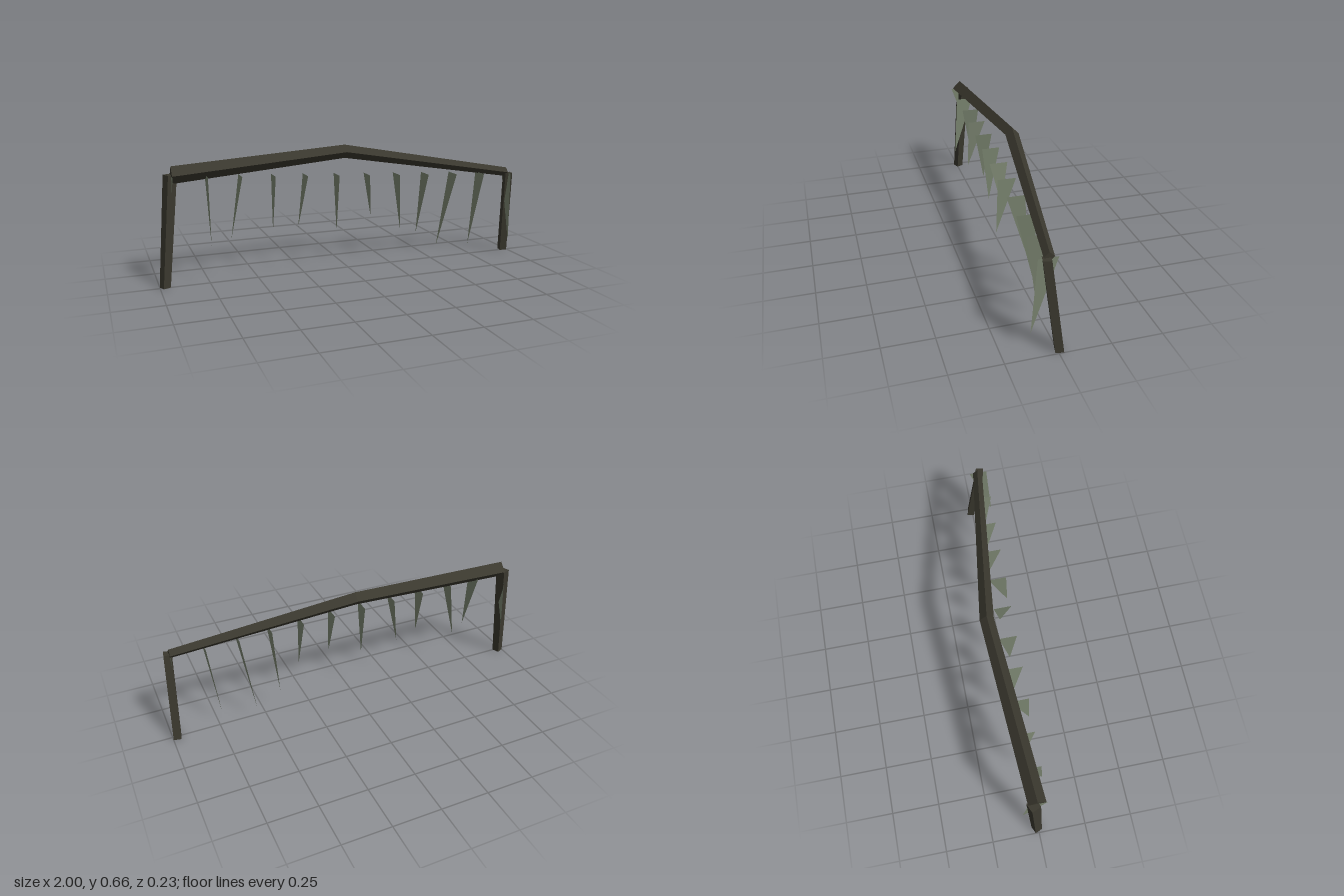
import * as THREE from 'three';

const wood = new THREE.MeshStandardMaterial({ color: 0x3a382e });
wood.name = 'dark weathered wood';
const cloth = new THREE.MeshStandardMaterial({ color: 0x7a8470, side: THREE.DoubleSide });
cloth.name = 'grey green rag';

const X = new THREE.Vector3(1, 0, 0);
const Y = new THREE.Vector3(0, 1, 0);
const Z = new THREE.Vector3(0, 0, 1);

function flatMesh(name, points, material) {
  const geo = new THREE.BufferGeometry().setFromPoints(points);
  geo.computeVertexNormals();
  const mesh = new THREE.Mesh(geo, material);
  mesh.name = name;
  return mesh;
}

// Four-sided timber through square rings [x, y, z, radius]; u and v span the ring plane
function timber(name, rings, u, v, turn) {
  const loops = rings.map(([x, y, z, r]) =>
    [0, 1, 2, 3].map((i) => {
      const a = turn + (i * Math.PI) / 2;
      return new THREE.Vector3(x, y, z)
        .addScaledVector(u, r * Math.cos(a))
        .addScaledVector(v, r * Math.sin(a));
    }));
  const tris = [];
  for (let k = 0; k < loops.length - 1; k++) {
    const a = loops[k], b = loops[k + 1];
    for (let i = 0; i < 4; i++) {
      const j = (i + 1) % 4;
      tris.push(a[i], a[j], b[j], a[i], b[j], b[i]);
    }
  }
  const s = loops[0], e = loops[loops.length - 1];
  tris.push(s[0], s[2], s[1], s[0], s[3], s[2], e[0], e[1], e[2], e[0], e[2], e[3]);
  return flatMesh(name, tris, wood);
}

export function createModel() {
  const group = new THREE.Group();
  group.name = 'raggedArch';

  // Bent crossbeam, tapering toward the left end, with an edge facing up
  group.add(timber('crossbeam', [
    [-0.915, 0.565, -0.018, 0.044],
    [0.01, 0.625, -0.079, 0.036],
    [0.945, 0.475, 0.043, 0.025],
  ], Y, Z, 0));

  // Leaning posts
  const quarter = Math.PI / 4;
  group.add(timber('rightPost', [
    [-0.974, 0, -0.008, 0.028],
    [-0.918, 0.565, -0.036, 0.035],
  ], Z, X, quarter + 0.42));
  group.add(timber('leftPost', [
    [0.977, 0, -0.008, 0.028],
    [0.95, 0.472, 0.055, 0.028],
  ], Z, X, quarter - 0.2));

  // Hanging pointed rags: tip positions, tops spaced along a straight line
  const tips = [
    [-0.92, 0.235, -0.08], [-0.745, 0.21, 0.06], [-0.63, 0.215, -0.02],
    [-0.43, 0.255, 0.055], [-0.28, 0.25, 0.0], [-0.075, 0.215, 0.025],
    [0.125, 0.285, 0.01], [0.27, 0.21, 0.08], [0.42, 0.145, -0.035],
    [0.55, 0.06, -0.033], [0.728, 0.065, 0.015], [0.935, 0.088, 0.113],
  ];
  const rags = new THREE.Group();
  rags.name = 'hangingRags';
  tips.forEach((tip, i) => {
    const t = i / (tips.length - 1);
    const x = THREE.MathUtils.lerp(-0.915, 0.945, t);
    const y = THREE.MathUtils.lerp(0.56, 0.472, t);
    const z = THREE.MathUtils.lerp(-0.013, 0.046, t);
    rags.add(flatMesh('rag', [
      new THREE.Vector3(x, y, z + 0.047),
      new THREE.Vector3(...tip),
      new THREE.Vector3(x, y, z - 0.047),
    ], cloth));
  });
  group.add(rags);

  return group;
}
